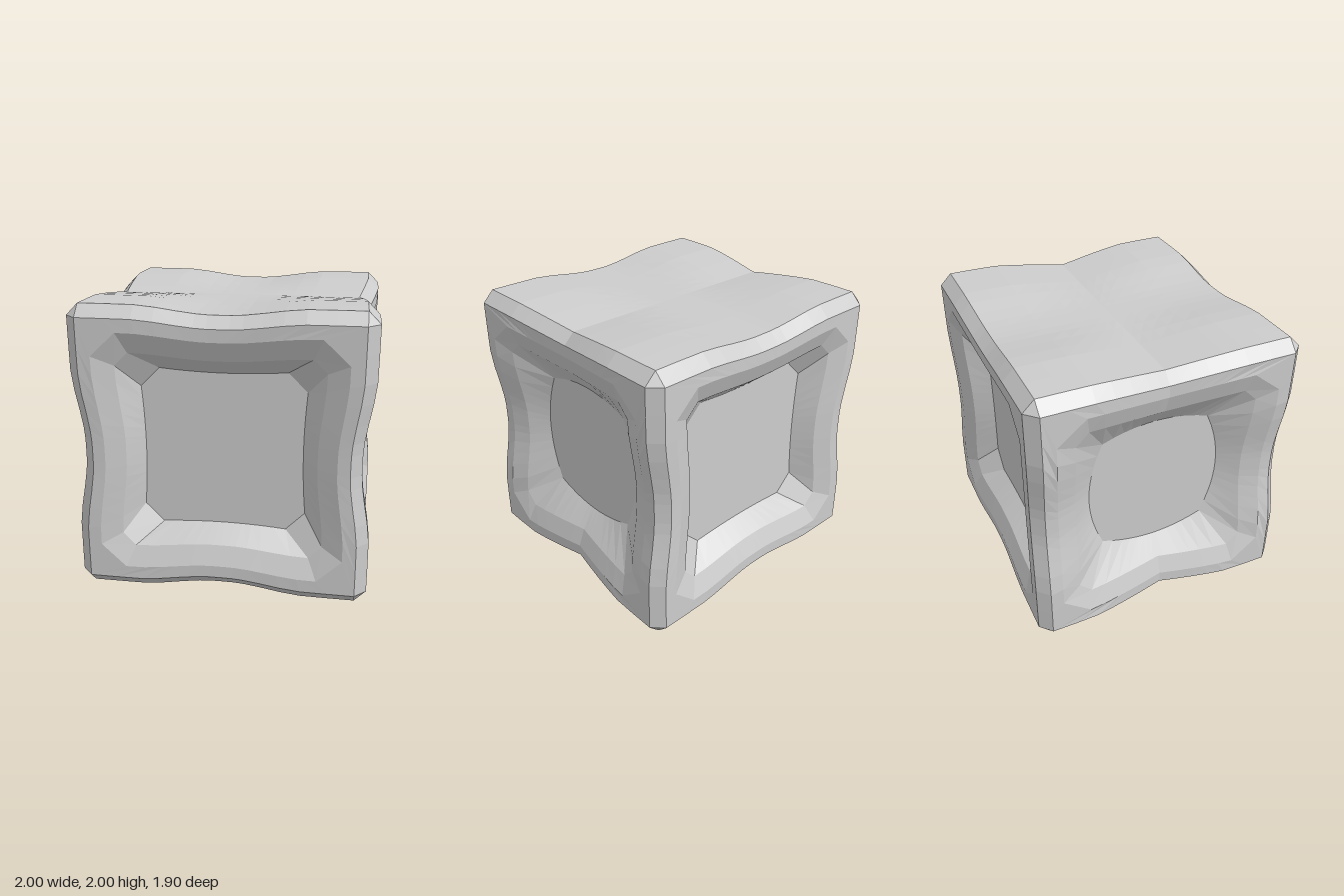
import * as THREE from 'three';

const HALF = [1, 1, 0.95];   // half sizes in x, y, z
const BEVEL = 0.08;
const STOPS = [-1, -0.8, -0.6, -0.45, -0.3, -0.17, -0.08, 0, 0.08, 0.17, 0.3, 0.45, 0.6, 0.8, 1];

// Pinch curves: a broad valley and a pointed valley
const broad = t => 1 - THREE.MathUtils.smoothstep(Math.abs(t), 0.05, 0.6);
const pointed = t => Math.pow(Math.max(0, 1 - Math.abs(t) / 0.56), 1.25);
const blend = (a, b) => a + b - a * b;

// Sag every side of the block inward towards its middle
function warp([x, y, z]) {
  return [
    x * (1 - 0.068 * blend(broad(y), pointed(z))),
    y * (1 - 0.063 * blend(0.88 * broad(x), pointed(z))),
    z * (1 - 0.016 * blend(broad(x), broad(y))),
  ];
}

// Place values on the three axes
function point(axisA, a, axisB, b, axisC, c) {
  const p = [0, 0, 0];
  p[axisA] = a; p[axisB] = b; p[axisC] = c;
  return p;
}

// Add a triangle turned to face the given direction
function tri(out, a, b, c, dir) {
  const A = new THREE.Vector3(...a), B = new THREE.Vector3(...b), C = new THREE.Vector3(...c);
  const n = B.clone().sub(A).cross(C.clone().sub(A));
  if (n.length() < 1e-7) return;
  out.push(...a, ...(n.dot(dir) > 0 ? [...b, ...c] : [...c, ...b]));
}

function quad(out, a, b, c, d, dir) {
  tri(out, a, b, c, dir);
  tri(out, a, c, d, dir);
}

function makeMesh(name, positions, material) {
  const g = new THREE.BufferGeometry();
  g.setAttribute('position', new THREE.Float32BufferAttribute(positions, 3));
  g.computeVertexNormals();
  const mesh = new THREE.Mesh(g, material);
  mesh.name = name;
  return mesh;
}

// Closed loop on a side: half size h, straight-edge half length c, edge bow b
function loop(hu, hv, cu, cv, bu = 0, bv = 0) {
  const pts = [];
  for (const s of STOPS) pts.push([s * cu, -(hv + bv * s * s)]);
  for (const s of STOPS) pts.push([hu + bu * s * s, s * cv]);
  for (const s of STOPS) pts.push([-s * cu, hv + bv * s * s]);
  for (const s of STOPS) pts.push([-(hu + bu * s * s), -s * cv]);
  return pts;
}

// Recessed side: flat frame, shallow slope, steep wall and flat floor
function recessedSide(axis, sign, rings, floorDepth) {
  const u = axis === 0 ? 2 : 0, v = 1;
  const dir = new THREE.Vector3(...point(axis, sign, u, 0, v, 0));
  const out = [], floor = [];
  const loops = rings.map(([size, drop], k) => loop(...size).map(([a, b]) =>
    k === rings.length - 1
      ? point(axis, sign * floorDepth, u, a, v, b)
      : warp(point(axis, sign * (HALF[axis] - drop), u, a, v, b))));
  const n = loops[0].length;
  for (let k = 0; k < loops.length - 1; k++)
    for (let i = 0; i < n; i++) {
      const j = (i + 1) % n;
      quad(out, loops[k][i], loops[k][j], loops[k + 1][j], loops[k + 1][i], dir);
    }
  const last = loops[loops.length - 1];
  const centre = point(axis, sign * floorDepth, u, 0, v, 0);
  for (let i = 0; i < n; i++) tri(floor, centre, last[i], last[(i + 1) % n], dir);
  return [out, floor];
}

// Plain sagging side for the top and bottom
function plainSide(sign) {
  const out = [], dir = new THREE.Vector3(0, sign, 0);
  const at = (i, j) => warp([STOPS[i] * (HALF[0] - BEVEL), sign, STOPS[j] * (HALF[2] - BEVEL)]);
  for (let i = 0; i < STOPS.length - 1; i++)
    for (let j = 0; j < STOPS.length - 1; j++)
      quad(out, at(i, j), at(i + 1, j), at(i + 1, j + 1), at(i, j + 1), dir);
  return out;
}

// Bevel strips along the twelve edges and triangles on the eight corners
function bevels() {
  const out = [];
  const signs = [-1, 1];
  for (let axis = 0; axis < 3; axis++) {
    const u = (axis + 1) % 3, v = (axis + 2) % 3;
    for (const su of signs) for (const sv of signs) {
      const dir = new THREE.Vector3(...point(axis, 0, u, su, v, sv));
      const at = (s, cutU, cutV) => warp(point(
        axis, s * (HALF[axis] - BEVEL),
        u, su * (HALF[u] - cutU), v, sv * (HALF[v] - cutV)));
      for (let i = 0; i < STOPS.length - 1; i++) {
        const s = STOPS[i], t = STOPS[i + 1];
        quad(out, at(s, 0, BEVEL), at(t, 0, BEVEL), at(t, BEVEL, 0), at(s, BEVEL, 0), dir);
      }
    }
  }
  for (const x of signs) for (const y of signs) for (const z of signs) {
    const s = [x, y, z];
    const corner = [0, 1, 2].map(k =>
      warp(s.map((q, m) => q * (HALF[m] - (m === k ? 0 : BEVEL)))));
    tri(out, ...corner, new THREE.Vector3(x, y, z));
  }
  return out;
}

export function createModel() {
  const grey = new THREE.MeshStandardMaterial({ color: 0xcccccc, flatShading: true });
  grey.name = 'plain grey';

  const block = new THREE.Group();
  block.name = 'pinchedBlock';
  block.position.y = 1;

  // Squarish recess on front and back: [loop size, drop below the side]
  const squareRings = [
    [[0.92, 0.92, 0.92, 0.92], 0],
    [[0.83, 0.83, 0.66, 0.67], 0],
    [[0.69, 0.69, 0.6, 0.6], 0.06],
    [[0.54, 0.54, 0.43, 0.43, 0.02, 0.02], 0],
  ];
  // Rounded recess on left and right
  const roundRings = [
    [[0.87, 0.92, 0.87, 0.92], 0],
    [[0.78, 0.83, 0.58, 0.67], 0],
    [[0.64, 0.69, 0.55, 0.6], 0.05],
    [[0.49, 0.505, 0.39, 0.43, -0.1, -0.075], 0],
  ];
  const sides = [
    ['front', 2, 1, squareRings, 0.74],
    ['back', 2, -1, squareRings, 0.74],
    ['left', 0, 1, roundRings, 0.78],
    ['right', 0, -1, roundRings, 0.78],
  ];
  for (const [name, axis, sign, rings, depth] of sides) {
    const [frame, floor] = recessedSide(axis, sign, rings, depth);
    block.add(makeMesh(name + 'Frame', frame, grey), makeMesh(name + 'RecessFloor', floor, grey));
  }

  block.add(makeMesh('top', plainSide(1), grey));
  block.add(makeMesh('bottom', plainSide(-1), grey));
  block.add(makeMesh('bevelledEdges', bevels(), grey));

  const model = new THREE.Group();
  model.name = 'model';
  model.add(block);
  return model;
}
